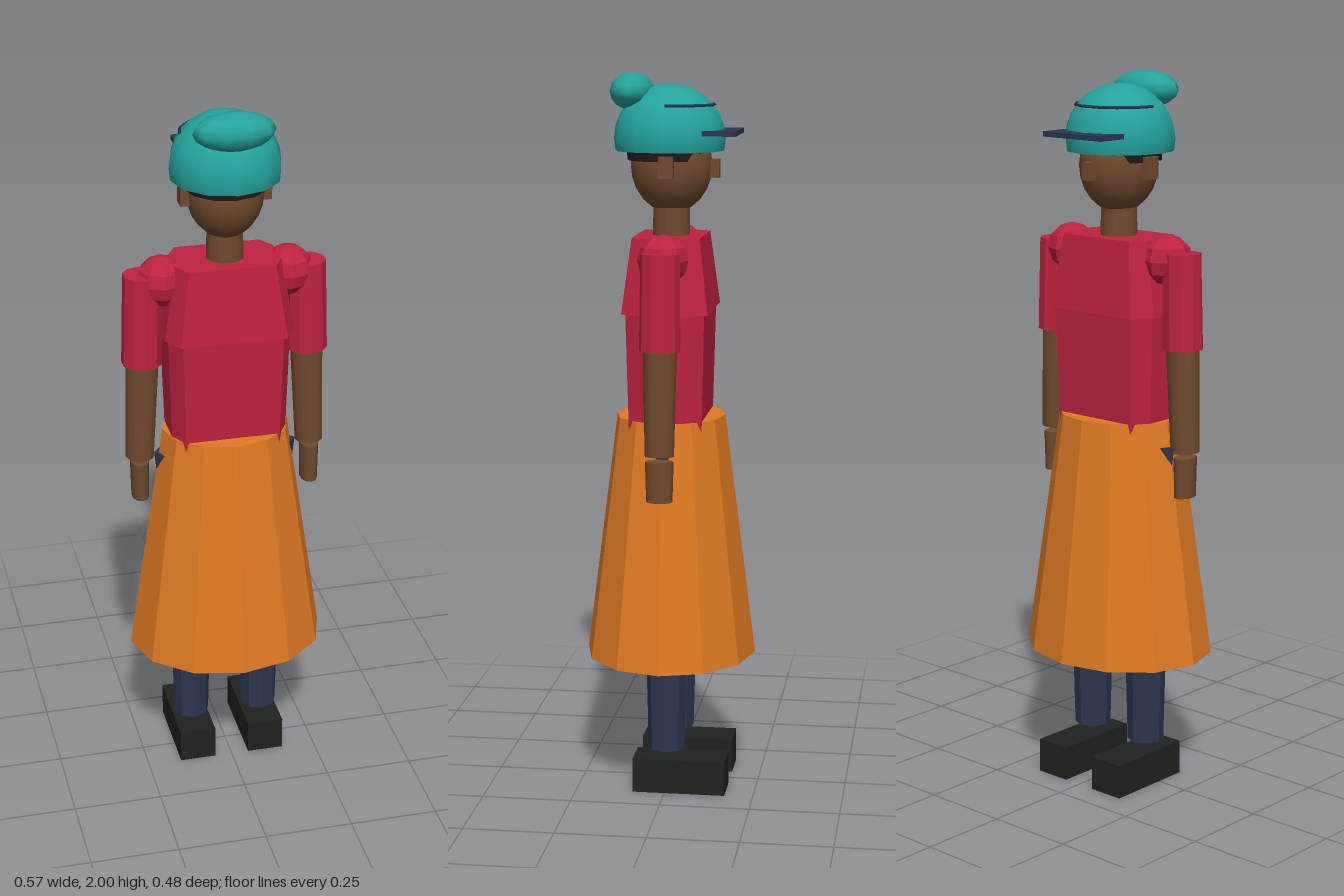
import * as THREE from 'three';

const mat = (name, color) => {
  const m = new THREE.MeshStandardMaterial({ color });
  m.name = name;
  return m;
};

// Give every triangle its own normal for a faceted look
function facet(geo) {
  const g = geo.index ? geo.toNonIndexed() : geo;
  g.computeVertexNormals();
  return g;
}

// Tapered upright prism with a chamfered rectangular section
function taperedBlock(hx, hz, height, topX, topZ) {
  const cx = hx * 0.82, cz = hz * 0.5;
  const outline = [[cx, hz], [-cx, hz], [-hx, cz], [-hx, -cz], [-cx, -hz], [cx, -hz], [hx, -cz], [hx, cz]];
  const shape = new THREE.Shape(outline.map(([x, z]) => new THREE.Vector2(x, z)));
  const g = new THREE.ExtrudeGeometry(shape, { depth: height, bevelEnabled: false });
  g.rotateX(-Math.PI / 2);
  const p = g.attributes.position;
  for (let i = 0; i < p.count; i++) {
    const t = p.getY(i) / height;
    p.setX(i, p.getX(i) * (1 + (topX / hx - 1) * t));
    p.setZ(i, p.getZ(i) * (1 + (topZ / hz - 1) * t));
  }
  return facet(g);
}

export function createModel() {
  const model = new THREE.Group();
  model.name = 'figure';

  const skin = mat('brown skin', 0x704a2e);
  const red = mat('crimson cloth', 0xbe2240);
  const orange = mat('orange cloth', 0xdf7a24);
  const navy = mat('navy cloth', 0x2c3650);
  const teal = mat('teal knit', 0x24a39b);
  const black = mat('black shoe', 0x20231f);
  const hairDark = mat('dark hair', 0x211a17);

  function add(name, geo, material, x = 0, y = 0, z = 0, parent = model) {
    const mesh = new THREE.Mesh(geo, material);
    mesh.name = name;
    mesh.position.set(x, y, z);
    parent.add(mesh);
    return mesh;
  }

  // Skirt and hips
  const skirt = new THREE.CylinderGeometry(0.178, 0.28, 0.68, 12);
  skirt.scale(1, 1, 0.853);
  add('skirt', facet(skirt), orange, 0, 0.72, 0);
  const hips = new THREE.CylinderGeometry(0.202, 0.185, 0.16, 8);
  hips.scale(1, 1, 0.55);
  add('hips', facet(hips), navy, 0, 0.91, 0);

  // Shirt
  add('waist', taperedBlock(0.16, 0.1, 0.34, 0.17, 0.108), red, 0, 1.02, 0);
  add('chest', taperedBlock(0.18, 0.118, 0.205, 0.145, 0.093), red, 0, 1.355, 0);

  // Arms, legs and ears on both sides
  for (const side of [-1, 1]) {
    const name = side > 0 ? 'left' : 'right';
    const limb = new THREE.Group();
    limb.name = name + 'Arm';
    model.add(limb);
    add('shoulder', facet(new THREE.SphereGeometry(0.07, 8, 6)), red, side * 0.175, 1.507, 0, limb);
    const sleeve = add('sleeve', facet(new THREE.CylinderGeometry(0.053, 0.056, 0.26, 10)), red, side * 0.23, 1.4, 0, limb);
    sleeve.rotation.z = side * 0.02;
    const forearm = add('forearm', new THREE.CylinderGeometry(0.046, 0.04, 0.29, 12), skin, side * 0.237, 1.13, 0, limb);
    forearm.rotation.z = side * 0.04;
    const hand = new THREE.CylinderGeometry(0.026, 0.024, 0.112, 10);
    hand.scale(1, 1, 1.5);
    add('hand', hand, skin, side * 0.244, 0.915, 0, limb);

    add(name + 'Leg', facet(new THREE.CylinderGeometry(0.07, 0.051, 0.76, 8)), navy, side * 0.102, 0.5, 0);
    add(name + 'Shoe', new THREE.BoxGeometry(0.104, 0.097, 0.26), black, side * 0.102, 0.0485, -0.04);
    add(name + 'Ear', new THREE.BoxGeometry(0.025, 0.06, 0.04), skin, side * 0.112, 1.75, 0);
  }

  // Neck, head, nose and hair
  add('neck', new THREE.CylinderGeometry(0.05, 0.052, 0.12, 12), skin, 0, 1.6, 0);
  const head = new THREE.SphereGeometry(1, 16, 12);
  head.scale(0.105, 0.13, 0.113);
  add('head', head, skin, 0, 1.75, 0);
  add('nose', new THREE.BoxGeometry(0.03, 0.05, 0.03), skin, 0, 1.742, -0.118);
  const hair = new THREE.CylinderGeometry(0.114, 0.112, 0.03, 12);
  add('hair', hair, hairDark, 0, 1.779, 0.01);

  // Cap: dome with a closed underside
  const dome = new THREE.SphereGeometry(1, 12, 8, 0, Math.PI * 2, 0, Math.PI * 0.57);
  dome.scale(0.152, 0.148, 0.154);
  add('capDome', dome, teal, 0, 1.822, 0.005);
  const under = new THREE.CircleGeometry(0.147, 12);
  under.rotateX(Math.PI / 2);
  add('capUnderside', under, teal, 0, 1.7895, 0.005);

  // Pompom, brim and strap
  const pompom = new THREE.SphereGeometry(1, 10, 8);
  pompom.scale(0.111, 0.051, 0.06);
  add('pompom', pompom, teal, 0, 1.949, 0.108);
  add('capBrim', new THREE.BoxGeometry(0.21, 0.014, 0.11), navy, 0, 1.84, -0.132);
  const strap = new THREE.TorusGeometry(0.121, 0.004, 4, 7, Math.PI);
  strap.rotateX(-Math.PI / 2);
  add('capStrap', strap, navy, 0, 1.914, 0.002);

  return model;
}
